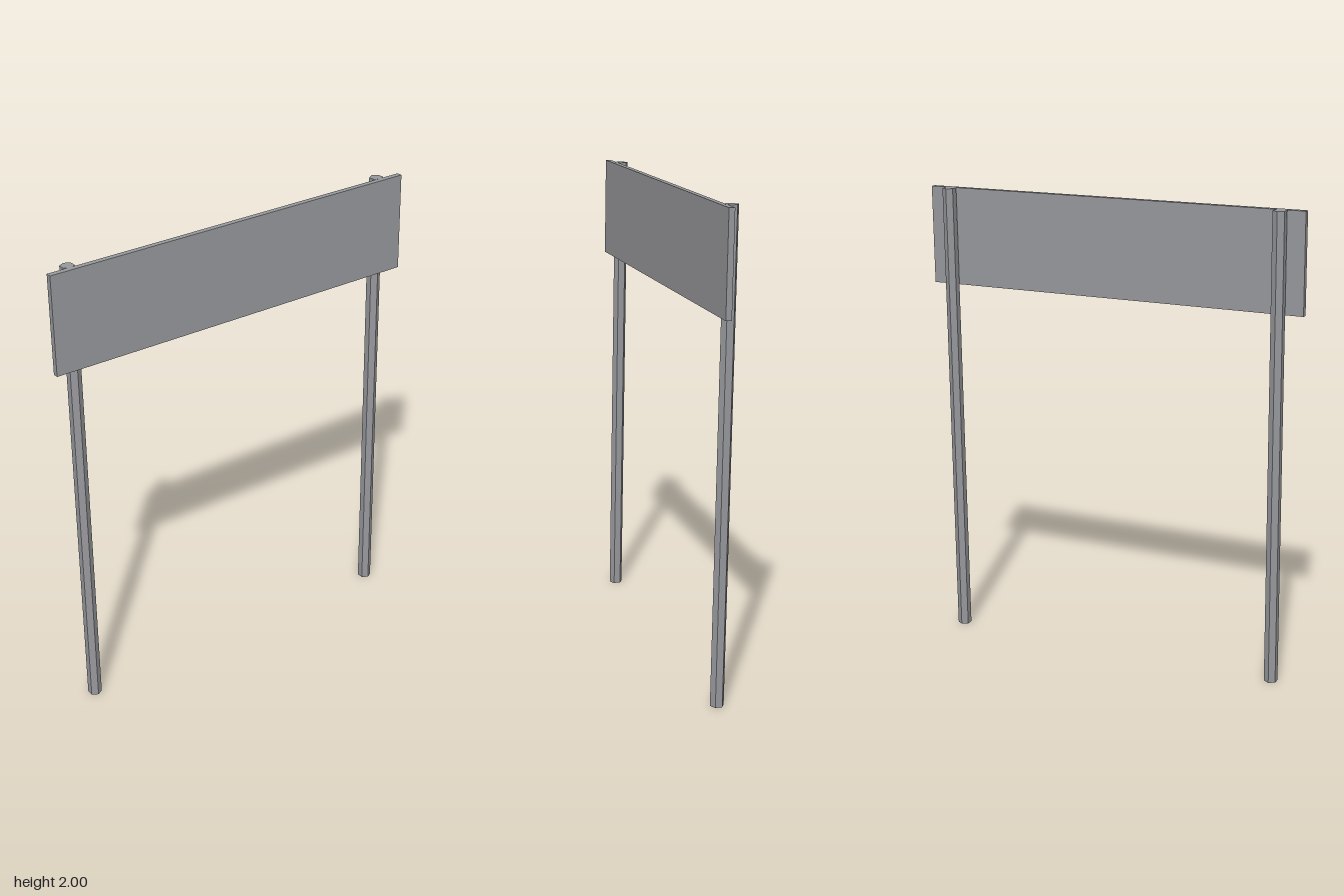
import * as THREE from 'three';

export function createModel() {
  const model = new THREE.Group();
  model.name = 'signFrame';

  const greyMetal = new THREE.MeshStandardMaterial({ color: 0x98999d });
  greyMetal.name = 'grey metal';
  greyMetal.flatShading = true;

  // The whole sign leans back slightly
  const sign = new THREE.Group();
  sign.name = 'leaningSign';
  sign.position.y = 1;
  sign.rotation.x = -0.0213;
  model.add(sign);

  // Two hexagonal posts, an edge facing forward
  const postGeometry = new THREE.CylinderGeometry(0.029, 0.029, 1.9985, 6);
  for (const [side, name] of [[1, 'leftPost'], [-1, 'rightPost']]) {
    const post = new THREE.Mesh(postGeometry, greyMetal);
    post.name = name;
    post.position.x = side * 0.75;
    sign.add(post);
  }

  // Wide board fixed to the front of the posts
  const board = new THREE.Mesh(new THREE.BoxGeometry(1.7, 0.42, 0.024), greyMetal);
  board.name = 'board';
  board.position.set(0, 0.789, 0.033);
  sign.add(board);

  return model;
}
